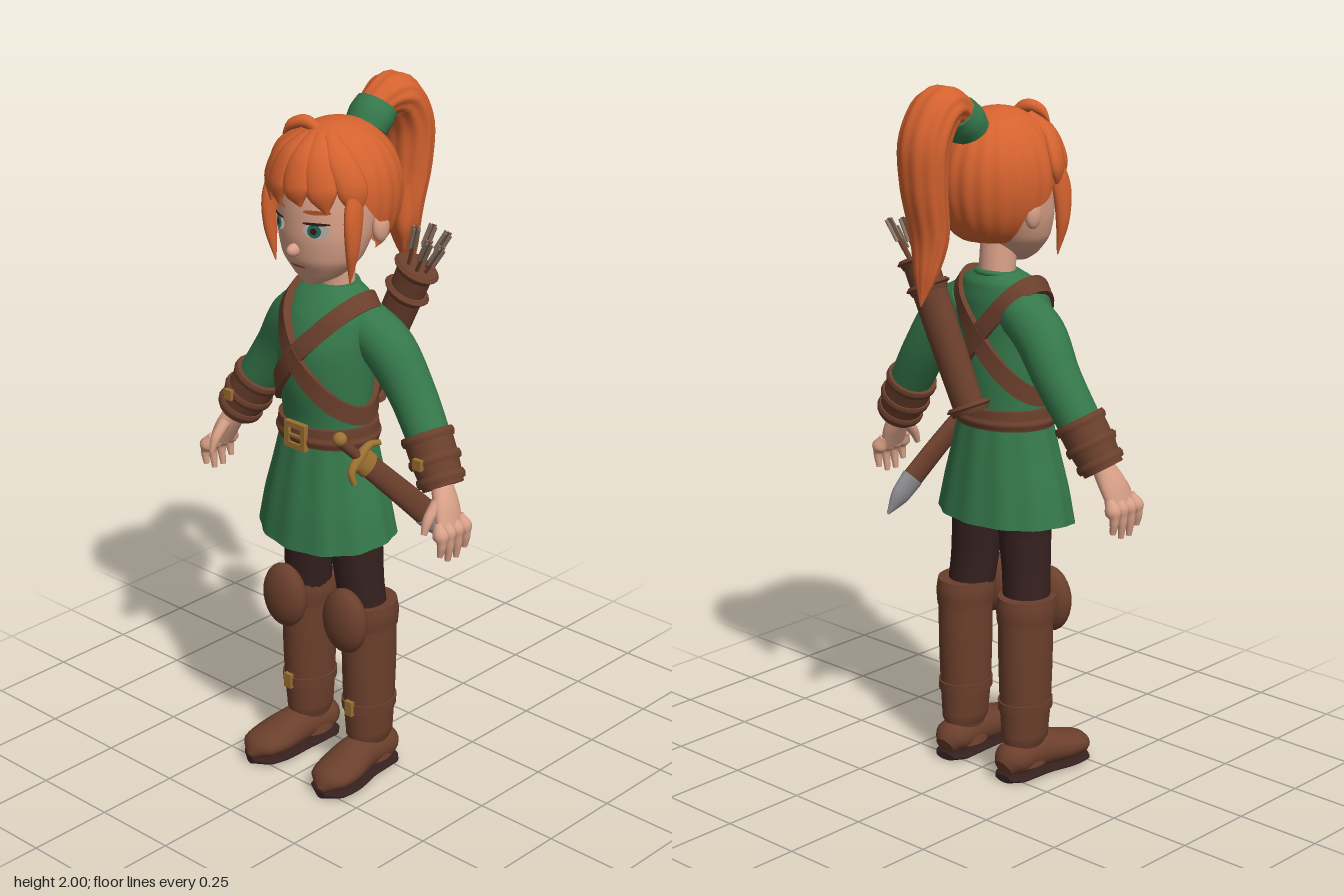
import * as THREE from 'three';
import { toCreasedNormals } from 'three/addons/utils/BufferGeometryUtils.js';

const V = (x, y, z) => new THREE.Vector3(x, y, z);
const X = V(1, 0, 0), Y = V(0, 1, 0);
const { lerp, smoothstep, degToRad } = THREE.MathUtils;

const paint = (name, color, side = THREE.FrontSide) => {
  const m = new THREE.MeshStandardMaterial({ color, side });
  m.name = name;
  return m;
};

// Joins rings of points into a surface; loop closes it end to end, caps fill the ends.
function skin(rings, { loop = false, caps = false } = {}) {
  const n = rings[0].length, pos = [], idx = [];
  rings.forEach(r => r.forEach(p => pos.push(p.x, p.y, p.z)));
  for (let i = 0; i < rings.length - (loop ? 0 : 1); i++) for (let j = 0; j < n; j++) {
    const i2 = (i + 1) % rings.length, j2 = (j + 1) % n;
    const a = i * n + j, b = i * n + j2, c = i2 * n + j2, d = i2 * n + j;
    idx.push(a, b, c, a, c, d);
  }
  if (caps) [rings[0], rings[rings.length - 1]].forEach((r, end) => {
    const start = pos.length / 3;
    const mid = r.reduce((s, p) => s.add(p), V(0, 0, 0)).divideScalar(n);
    [...r, mid].forEach(p => pos.push(p.x, p.y, p.z));
    for (let j = 0; j < n; j++) {
      const a = start + j, b = start + (j + 1) % n;
      idx.push(start + n, end ? a : b, end ? b : a);
    }
  });
  const g = new THREE.BufferGeometry();
  g.setAttribute('position', new THREE.Float32BufferAttribute(pos, 3));
  g.setIndex(idx);
  g.computeVertexNormals();
  return g;
}

// Sweeps an ellipse of changing radii along a smooth path; flat keeps rings level.
const curves = (pts, radii) => [
  new THREE.CatmullRomCurve3(pts.map(p => V(...p))),
  new THREE.CatmullRomCurve3(radii.map(r => Array.isArray(r) ? V(r[0], r[1], 0) : V(r, r, 0)))];
function sweep(pts, radii, { seg = 20, flat = false, caps = true, ridge = 0, folds = 8, ref = X } = {}) {
  const [path, size] = curves(pts, radii), steps = pts.length * 5, rings = [];
  for (let i = 0; i <= steps; i++) {
    const t = i / steps, p = path.getPoint(t), r = size.getPoint(t);
    const T = flat ? Y : path.getTangent(t);
    const S = ref.clone().addScaledVector(T, -ref.dot(T)).normalize(), U = T.clone().cross(S);
    rings.push(Array.from({ length: seg }, (_, j) => {
      const a = j / seg * Math.PI * 2, k = 1 + ridge * Math.cos(folds * a);
      return p.clone().addScaledVector(S, Math.max(r.x, 0.001) * k * Math.cos(a))
        .addScaledVector(U, Math.max(r.y, 0.001) * k * Math.sin(a));
    }));
  }
  return skin(rings, { caps });
}

// Level body profiles: rows of [y, centre z, half width, half depth].
const loft = (rows, x = 0, opt = {}) =>
  sweep(rows.map(r => [x, r[0], r[1]]), rows.map(r => [r[2], r[3]]), { flat: true, seg: 40, ...opt });
function section(rows, y) {
  const [path, size] = curves(rows.map(r => [0, r[0], r[1]]), rows.map(r => [r[2], r[3]]));
  let lo = 0, hi = 1;
  for (let i = 0; i < 22; i++) {
    const t = (lo + hi) / 2;
    if (path.getPoint(t).y < y) lo = t; else hi = t;
  }
  const r = size.getPoint(lo);
  return { z: path.getPoint(lo).z, rx: r.x, rz: r.y };
}

const HEAD = [[1.485, .15, .025, .025], [1.51, .13, .07, .06], [1.56, .115, .115, .1], [1.63, .1, .135, .125],
  [1.72, .08, .14, .14], [1.8, .07, .13, .13], [1.86, .07, .05, .05]];
const TORSO = [[1.02, .095, .138, .112], [1.1, .097, .134, .114], [1.2, .103, .137, .123], [1.3, .105, .14, .123],
  [1.39, .088, .138, .108], [1.44, .072, .114, .085], [1.468, .062, .065, .058]];

// Thin plate laid on the front of the face.
function facePlate(w, h, x, y, off) {
  const g = new THREE.CircleGeometry(1, 24).scale(w, h, 1), p = g.attributes.position;
  for (let i = 0; i < p.count; i++) {
    const px = p.getX(i) + x, py = p.getY(i) + y, s = section(HEAD, py);
    p.setXYZ(i, px, py, s.z + s.rz * Math.sqrt(1 - (px / s.rx) ** 2) + off);
  }
  return g;
}

// Diagonal strap around the torso, from one shoulder to the opposite hip.
function strap(s) {
  const N = 72, pts = [], outs = [];
  for (let i = 0; i < N; i++) {
    const a = -i / N * Math.PI * 2;
    let y = 1.29, x = 0, c;
    for (let k = 0; k < 24; k++) {
      c = section(TORSO, y);
      x = c.rx * Math.cos(a);
      y = lerp(y, 1.29 + s * 1.25 * x, 0.5);
    }
    pts.push(V(x, y, c.z + c.rz * Math.sin(a)));
    outs.push(V(Math.cos(a) / c.rx, 0, Math.sin(a) / c.rz).normalize().setY(0.8 * smoothstep(y, 1.37, 1.45)).normalize());
  }
  const rings = pts.map((p, i) => {
    const t = pts[(i + 1) % N].clone().sub(pts[(i + N - 1) % N]).normalize();
    const n = outs[i].addScaledVector(t, -outs[i].dot(t)).normalize(), w = t.clone().cross(n);
    return [[.014, -1], [.014, 1], [-.012, 1], [-.012, -1]].map(([o, k]) =>
      p.clone().addScaledVector(n, o).addScaledVector(w, k * .025));
  });
  return toCreasedNormals(skin(rings, { loop: true }), 0.8);
}

// Point on the hair surface: azimuth (0 = front) and polar angle in degrees.
function hairPoint(az, polar, k = 1) {
  const f = degToRad(az), q = degToRad(polar);
  const r = k * (polar > 90 ? Math.pow(Math.sin(q), 0.7) : Math.sin(q));
  return V(.168 * r * Math.sin(f), 1.73 + .19 * Math.cos(q), .06 + .185 * r * Math.cos(f));
}

export function createModel() {
  const model = new THREE.Group();
  const hair = paint('orange hair', 0xd4622f, THREE.DoubleSide), skinTone = paint('skin', 0xd9a188);
  const green = paint('green cloth', 0x35784b, THREE.DoubleSide), leather = paint('brown leather', 0x6b3f2c);
  const dark = paint('dark brown', 0x35211f), gold = paint('gold', 0x9c7132), steel = paint('steel', 0x8c8c90);
  const white = paint('eye white', 0xd8d2cc), iris = paint('iris green', 0x2f7a62), feather = paint('feather', 0x8a7666);
  const add = (name, geo, mat, at) => {
    const m = new THREE.Mesh(geo, mat);
    m.name = name;
    if (at) m.position.set(...at);
    model.add(m);
    return m;
  };
  const ball = (name, mat, at, size) => add(name, new THREE.SphereGeometry(1, 24, 16).scale(...size), mat, at);

  // Head and face
  add('head', loft(HEAD), skinTone);
  add('neck', loft([[1.38, .06, .056, .056], [1.46, .06, .05, .052], [1.56, .07, .05, .055]]), skinTone);
  ball('nose', skinTone, [0, 1.592, .225], [.016, .018, .024]);
  add('mouth', facePlate(.026, .004, 0, 1.545, .004), leather);
  for (const s of [1, -1]) {
    add('eyeWhite', facePlate(.032, .02, s * .066, 1.655, .004), white);
    add('iris', facePlate(.017, .018, s * .064, 1.655, .006), iris);
    add('pupil', facePlate(.008, .009, s * .064, 1.655, .008), dark);
    add('upperLid', facePlate(.034, .004, s * .067, 1.675, .007), dark);
    add('eyebrow', facePlate(.034, .006, s * .066, 1.705, .005), hair);
    ball('ear', skinTone, [s * .145, 1.645, .045], [.018, .042, .028]);
  }

  // Hair cap, hanging lower at the back than above the face
  const capRings = [];
  for (let i = 0; i <= 24; i++) capRings.push(Array.from({ length: 110 }, (_, j) => {
    const az = j / 110 * 360, d = Math.min(az, 360 - az);
    const low = 78 + 32 * smoothstep(d, 55, 92) + 42 * smoothstep(d, 98, 122);
    const polar = low * (1 - i / 24);
    return hairPoint(az, polar, 1 + .015 * Math.cos(degToRad(az * 22)) * Math.sin(degToRad(polar)));
  }));
  add('hairCap', skin(capRings), hair);
  // Fringe, side locks and a loose tuft
  for (const [az, tip] of [[-66, 101], [-42, 98], [-17, 95], [9, 92], [33, 97], [60, 101]]) {
    const f = degToRad(az);
    const path = [[az * .6, 30], [az * .85, 55], [az, 78], [az + 5, tip]].map(([a, q]) => hairPoint(a, q).toArray());
    add('fringeLock', sweep(path, [[.02, .012], [.04, .02], [.042, .019], [.003, .003]],
      { ref: V(Math.cos(f), 0, -Math.sin(f)), seg: 14 }), hair);
  }
  for (const s of [1, -1]) add('sideLock', sweep([[s * .135, 1.8, .13], [s * .15, 1.7, .155], [s * .15, 1.61, .16], [s * .137, 1.515, .155]],
    [[.015, .02], [.018, .032], [.016, .022], .002]), hair);
  add('tuft', sweep([[0, 1.89, .12], [-.04, 1.915, .135], [-.075, 1.905, .15], [-.1, 1.875, .16]], [.012, .018, .015, .002], { ref: Y }), hair);
  // Ponytail and its band
  add('ponytail', sweep([[0, 1.86, -.055], [0, 1.925, -.1], [0, 1.937, -.165], [0, 1.86, -.22], [0, 1.74, -.225], [0, 1.6, -.205], [0, 1.5, -.22], [0, 1.415, -.24]],
    [.045, [.052, .046], [.075, .06], [.076, .06], [.07, .055], [.058, .045], [.036, .028], .002], { seg: 64, ridge: .035, folds: 10 }), hair);
  add('ponytailTip', sweep([[.02, 1.68, -.2], [.025, 1.57, -.18], [.02, 1.49, -.185]], [.035, .025, .002]), hair);
  add('hairBand', sweep([[0, 1.868, -.052], [0, 1.895, -.074], [0, 1.92, -.098]], [[.062, .054], [.066, .058], [.062, .054]]), green);

  // Tunic
  add('tunicBody', loft(TORSO), green);
  const skirt = loft([[.76, .1, .215, .16], [.85, .1, .195, .148], [.95, .097, .166, .132], [1.06, .095, .139, .114]], 0,
    { seg: 96, caps: false, ridge: .015, folds: 12 });
  const sp = skirt.attributes.position;
  for (let i = 0; i < sp.count; i++) {
    const hem = 1 - smoothstep(sp.getY(i), .74, 1);
    sp.setY(i, sp.getY(i) - hem * .18 * Math.max(0, sp.getZ(i) - .1));
  }
  skirt.computeVertexNormals();
  add('tunicSkirt', skirt, green);
  add('collar', new THREE.TorusGeometry(.057, .009, 10, 32).rotateX(Math.PI / 2 + .15), green, [0, 1.458, .062]);

  // Belt, buckle and crossed straps
  add('belt', loft([[1.032, .095, .151, .127], [1.06, .095, .151, .127], [1.088, .095, .149, .125]]), leather);
  const frame = new THREE.Shape([[-.038, -.038], [.038, -.038], [.038, .038], [-.038, .038]].map(p => new THREE.Vector2(...p)));
  frame.holes.push(new THREE.Path([[-.022, -.022], [-.022, .022], [.022, .022], [.022, -.022]].map(p => new THREE.Vector2(...p))));
  add('beltBuckle', new THREE.ExtrudeGeometry(frame, { depth: .016, bevelEnabled: false }), gold, [0, 1.06, .215]);
  add('bucklePin', new THREE.BoxGeometry(.05, .007, .008), gold, [0, 1.06, .228]);
  for (const s of [1, -1]) add('chestStrap', strap(s), leather);

  for (const s of [1, -1]) {
    // Sleeve, bracer and hand
    add('sleeve', sweep([[s * .095, 1.365, .055], [s * .17, 1.315, .045], [s * .245, 1.21, .035], [s * .33, 1.08, .045]], [.07, .073, .066, .06]), green);
    const along = t => [s * lerp(.314, .392, t), lerp(1.105, .975, t), lerp(.045, .062, t)];
    add('bracer', sweep([along(0), along(.5), along(1)], [.068, .066, .058]), leather);
    for (const [t, r] of [[.08, .075], [.5, .074], [.85, .069]])
      add('bracerBand', sweep([along(t - .08), along(t), along(t + .08)], [r - .003, r, r - .003]), leather);
    add('bracerStud', new THREE.BoxGeometry(.028, .03, .014), gold, [s * .358, 1.05, .128]);
    add('palm', sweep([[s * .385, .985, .062], [s * .415, .93, .075], [s * .438, .875, .085]], [[.028, .032], [.026, .046], [.018, .048]]), skinTone);
    [.042, .071, .1, .127].forEach((z, i) => add('finger', sweep(
      [[s * .43, .9, z], [s * .452, .855, z + .004 * (i - 1)], [s * .448, [.808, .79, .79, .812][i], z + .005 * (i - 1)]], [.014, .014, .008], { seg: 10 }), skinTone));
    add('thumb', sweep([[s * .405, .945, .1], [s * .405, .905, .138], [s * .405, .868, .155]], [.018, .015, .008], { seg: 10 }), skinTone);

    // Leg and boot
    add('legging', sweep([[s * .115, .45, .06], [s * .1, .6, .075], [s * .088, .74, .08], [s * .08, .86, .085]], [.066, .069, .076, .076], { flat: true }), dark);
    add('bootShaft', loft([[.04, .052, .06, .074], [.12, .053, .06, .074], [.22, .055, .068, .079], [.38, .055, .072, .084], [.5, .055, .073, .083], [.53, .055, .072, .082]], s * .117), leather);
    add('bootCuff', loft([[.47, .056, .078, .087], [.51, .058, .082, .09], [.545, .06, .079, .086]], s * .117), leather);
    add('bootStrap', loft([[.208, .055, .072, .084], [.235, .055, .073, .085]], s * .117), leather);
    add('bootBuckle', new THREE.BoxGeometry(.026, .044, .014), gold, [s * .12, .225, .14]);
    const foot = [[.115, -.035, .03, .03], [.117, 0, .056, .05], [.122, .1, .058, .055], [.132, .19, .068, .043], [.138, .25, .058, .034], [.14, .282, .012, .012]];
    add('foot', sweep(foot.map(([x, z, , h]) => [s * x, .012 + h, z]), foot.map(f => [f[2], f[3]])), leather);
    add('sole', sweep(foot.map(([x, z]) => [s * x, .011, z]), foot.map(f => [f[2] + .003, .011])), dark);
    ball('kneePad', leather, [s * .117, .51, .155], [.075, .097, .045]);
  }

  // Quiver with arrows, slung across the back
  const base = V(-.03, 1.09, -.077), mouth = V(.157, 1.505, -.09), axis = mouth.clone().sub(base).normalize();
  const onAxis = t => base.clone().lerp(mouth, t).toArray();
  add('quiver', sweep([onAxis(0), onAxis(.5), onAxis(1)], [[.047, .04], [.052, .043], [.054, .044]]), leather);
  for (const t of [.03, .8, .97]) add('quiverBand', sweep([onAxis(t - .03), onAxis(t), onAxis(t + .03)], [[.056, .046], [.061, .05], [.061, .05]]), leather);
  for (let i = 0; i < 6; i++) {
    const a = i / 6 * Math.PI * 2, long = .1 + .012 * (i % 3);
    const from = mouth.clone().add(V(.028 * Math.cos(a), -.012 * Math.cos(a), .024 * Math.sin(a)));
    const dir = axis.clone().add(V(.22 * Math.cos(a), 0, .15 * Math.sin(a))).normalize();
    const arrow = new THREE.Group();
    arrow.name = 'arrow';
    arrow.position.copy(from);
    arrow.quaternion.setFromUnitVectors(Y, dir);
    const shaft = new THREE.Mesh(new THREE.CylinderGeometry(.005, .005, long + .04, 8), leather);
    shaft.name = 'arrowShaft';
    shaft.position.y = long / 2 - .02;
    arrow.add(shaft);
    for (let k = 0; k < 2; k++) {
      const vane = new THREE.Mesh(new THREE.BoxGeometry(.028, .065, .004), feather);
      vane.name = 'arrowFeather';
      vane.position.y = long - .035;
      vane.rotation.y = k * Math.PI / 2;
      arrow.add(vane);
    }
    model.add(arrow);
  }

  // Sheathed short sword on the left hip
  add('scabbard', sweep([[.19, 1.025, .165], [.225, .925, .07], [.255, .825, -.025]], [[.02, .032], [.021, .035], [.02, .038]]), leather);
  add('scabbardTip', sweep([[.254, .83, -.02], [.264, .785, -.06], [.275, .735, -.1]], [[.022, .04], [.019, .034], .004]), steel);
  add('scabbardCollar', sweep([[.188, 1.03, .17], [.196, 1.005, .146]], [[.025, .037], [.025, .037]]), gold);
  add('swordGrip', sweep([[.19, 1.03, .17], [.166, 1.09, .222]], [.014, .016]), leather);
  ball('swordPommel', gold, [.166, 1.098, .226], [.02, .02, .02]);
  add('swordGuard', sweep([[.2, 1.062, .105], [.193, 1.062, .14], [.19, 1.035, .175], [.192, 1.002, .208], [.2, .968, .205]], [.008, .011, .015, .011, .008]), gold);
  return model;
}
